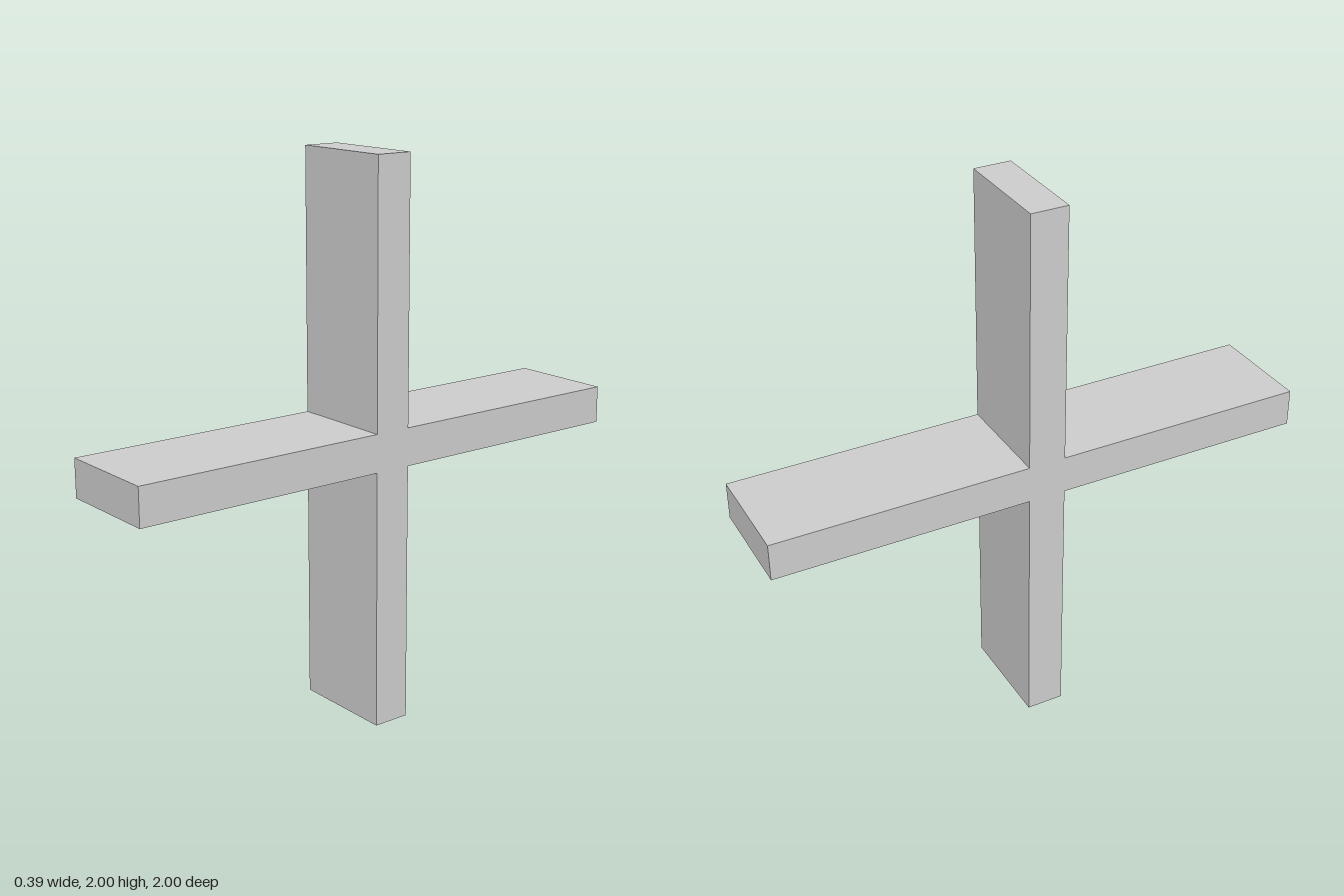
import * as THREE from 'three';

const WIDTH = 0.39; // extent along x
const ARM = 1;      // reach of each arm from the centre
const HALF = 0.068; // half the arm thickness

export function createModel() {
  const group = new THREE.Group();
  group.name = 'crossModel';

  // Cross outline: three corners per arm, turned a quarter for each arm
  const points = [];
  for (let i = 0; i < 4; i++) {
    for (const [x, y] of [[ARM, -HALF], [ARM, HALF], [HALF, HALF]]) {
      points.push(new THREE.Vector2(x, y).rotateAround(new THREE.Vector2(), i * Math.PI / 2));
    }
  }

  // Extruded across the width, then turned so the width lies along x
  const geometry = new THREE.ExtrudeGeometry(new THREE.Shape(points), { depth: WIDTH, bevelEnabled: false });
  geometry.translate(0, 0, -WIDTH / 2).rotateY(Math.PI / 2).translate(0, ARM, 0);

  const material = new THREE.MeshStandardMaterial({ color: 0xcccccc, flatShading: true });
  const cross = new THREE.Mesh(geometry, material);
  cross.name = 'cross';
  group.add(cross);
  return group;
}
